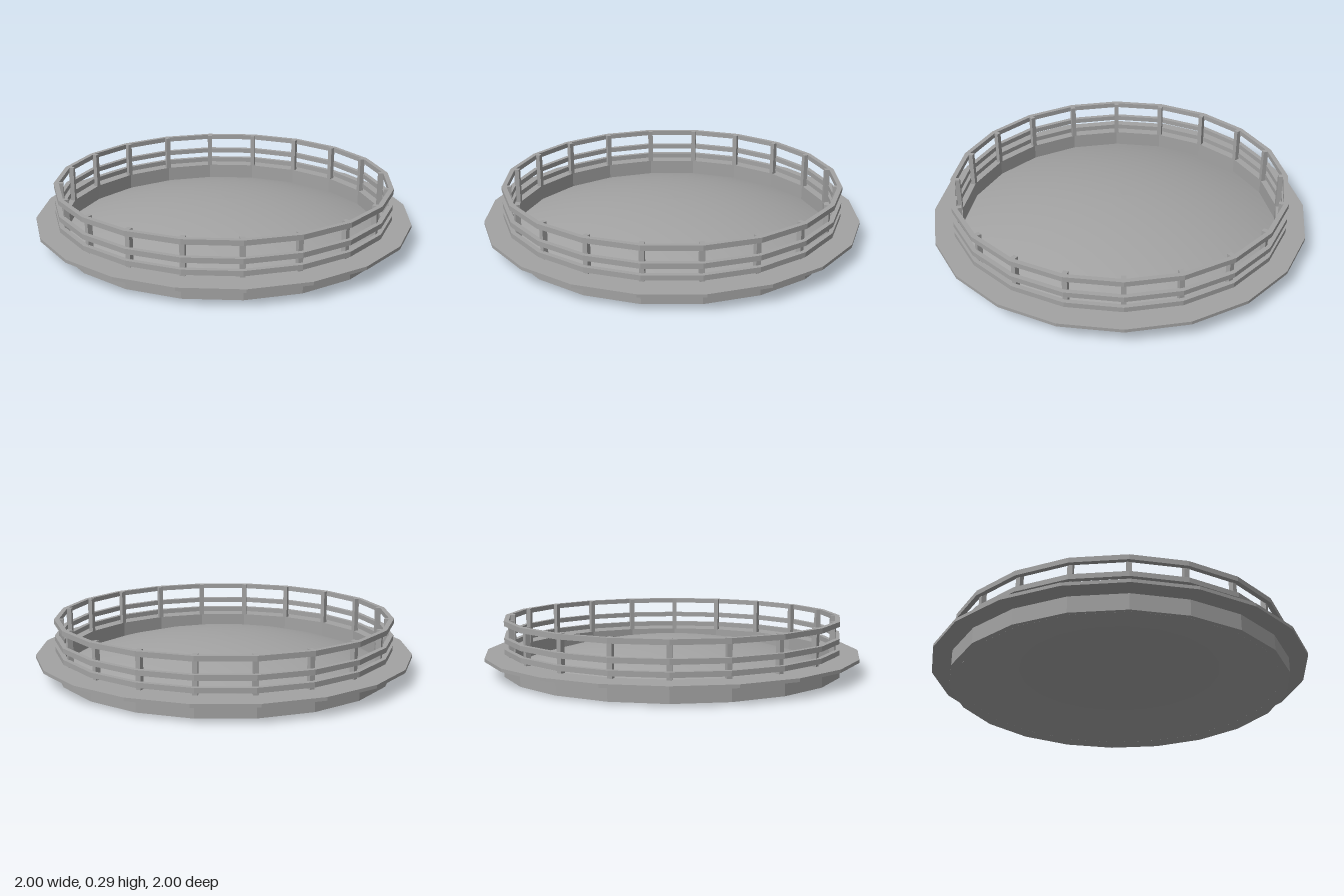
import * as THREE from 'three';

const SIDES = 20;

// Revolve a profile into a 20-sided faceted surface (outer side listed upwards).
function facetedLathe(profile) {
  const points = profile.map(([r, y]) => new THREE.Vector2(r, y));
  const geometry = new THREE.LatheGeometry(points, SIDES).toNonIndexed();
  geometry.computeVertexNormals();
  return geometry;
}

// Closed ring with a rectangular section.
const ring = (inner, outer, y0, y1) => facetedLathe(
  [[inner, y0], [outer, y0], [outer, y1], [inner, y1], [inner, y0]]);

export function createModel() {
  const model = new THREE.Group();
  model.name = 'railedPlatform';
  // Double-sided because the domed floor is a thin shell seen from both sides
  const grey = new THREE.MeshStandardMaterial({ color: 0xa3a3a3, side: THREE.DoubleSide });
  grey.name = 'grey';

  const add = (name, geometry, parent = model) => {
    const mesh = new THREE.Mesh(geometry, grey);
    mesh.name = name;
    parent.add(mesh);
    return mesh;
  };

  // Base wall with a projecting walkway on top
  add('base', facetedLathe([
    [0.902, 0], [0.902, 0.083], [1, 0.083], [1, 0.1], [0.85, 0.1], [0.85, 0.018],
  ]));

  // Shallow smooth dome, hollow underneath, meeting the foot of the wall
  const dome = [];
  for (let i = 0; i <= 10; i++) {
    const t = 1 - i / 10;
    dome.push(new THREE.Vector2(0.902 * t, 0.166 * (1 - t * t)));
  }
  add('domedFloor', new THREE.LatheGeometry(dome, SIDES));

  // Three horizontal rails
  const railing = new THREE.Group();
  railing.name = 'railing';
  model.add(railing);
  add('lowerRail', ring(0.873, 0.898, 0.116, 0.142), railing);
  add('middleRail', ring(0.873, 0.898, 0.175, 0.201), railing);
  add('topRail', ring(0.873, 0.898, 0.263, 0.289), railing);

  // Posts stand just inside the rails, one at each corner
  const postGeometry = new THREE.BoxGeometry(0.025, 0.19, 0.027);
  for (let i = 0; i < SIDES; i++) {
    const angle = (i / SIDES) * Math.PI * 2;
    const post = add('post', postGeometry, railing);
    post.position.set(Math.sin(angle) * 0.8615, 0.194, Math.cos(angle) * 0.8615);
    post.rotation.y = angle;
  }
  return model;
}
